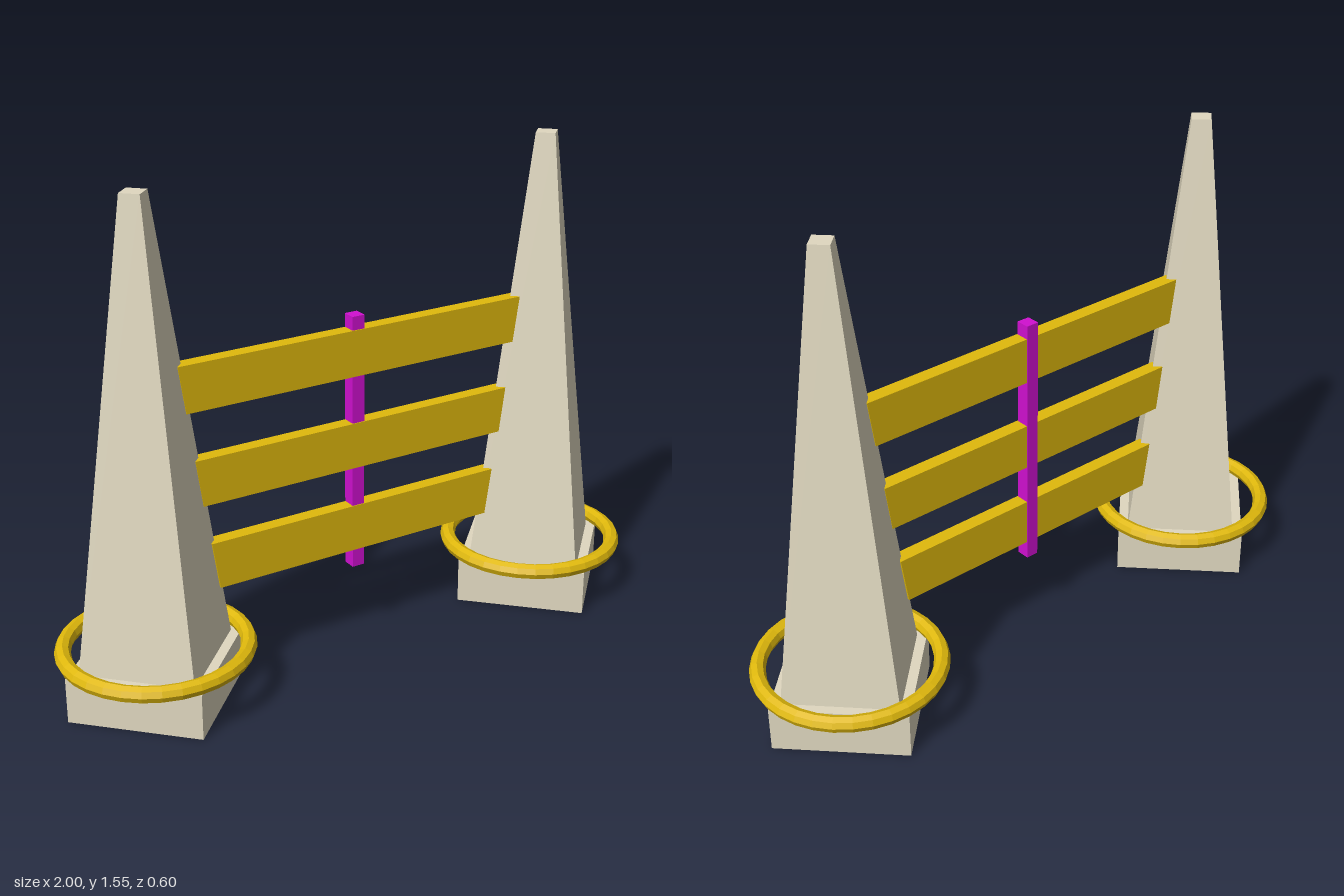
import * as THREE from 'three';

const stone = new THREE.MeshStandardMaterial({ color: 0xe0d8c0, flatShading: true });
const gold = new THREE.MeshStandardMaterial({ color: 0xe0b90c });
const goldFlat = new THREE.MeshStandardMaterial({ color: 0xe0b90c, flatShading: true });
const magenta = new THREE.MeshStandardMaterial({ color: 0xd010d0 });

function addMesh(parent, name, geometry, material, x = 0, y = 0, z = 0) {
  const mesh = new THREE.Mesh(geometry, material);
  mesh.name = name;
  mesh.position.set(x, y, z);
  parent.add(mesh);
  return mesh;
}

// Square obelisk with corners on the axes, standing on a block and ringed at the foot
function createPillar(name, x) {
  const pillar = new THREE.Group();
  pillar.name = name;
  pillar.position.x = x;
  const baseH = 0.145, top = 1.55;
  addMesh(pillar, 'base', new THREE.CylinderGeometry(0.293, 0.293, baseH, 4), stone, 0, baseH / 2);
  addMesh(pillar, 'spire', new THREE.CylinderGeometry(0.043, 0.25, top - baseH, 4), stone, 0, (top + baseH) / 2);
  const ring = addMesh(pillar, 'ring', new THREE.TorusGeometry(0.276, 0.025, 8, 32), goldFlat, 0, 0.168);
  ring.rotation.x = Math.PI / 2;
  return pillar;
}

// Plank with slanted ends, wider along its top edge
function plankGeometry(y0, y1, halfBottom, halfTop, depth) {
  const shape = new THREE.Shape([
    new THREE.Vector2(-halfBottom, y0),
    new THREE.Vector2(halfBottom, y0),
    new THREE.Vector2(halfTop, y1),
    new THREE.Vector2(-halfTop, y1),
  ]);
  return new THREE.ExtrudeGeometry(shape, { depth, bevelEnabled: false }).translate(0, 0, -depth / 2);
}

export function createModel() {
  const model = new THREE.Group();
  model.name = 'fence';

  model.add(createPillar('leftPillar', 0.698), createPillar('rightPillar', -0.698));

  // Three planks: bottom, top, half width at bottom, half width at top
  const planks = [
    ['lowerPlank', 0.31, 0.462, 0.488, 0.512],
    ['middlePlank', 0.59, 0.738, 0.535, 0.556],
    ['upperPlank', 0.89, 1.037, 0.578, 0.6],
  ];
  for (const [name, y0, y1, b, t] of planks) {
    addMesh(model, name, plankGeometry(y0, y1, b, t, 0.046), gold);
  }

  // Upright post joining the planks, just proud of them at the back
  addMesh(model, 'post', new THREE.BoxGeometry(0.042, 0.83, 0.044), magenta, 0, 0.665, -0.002);

  return model;
}
